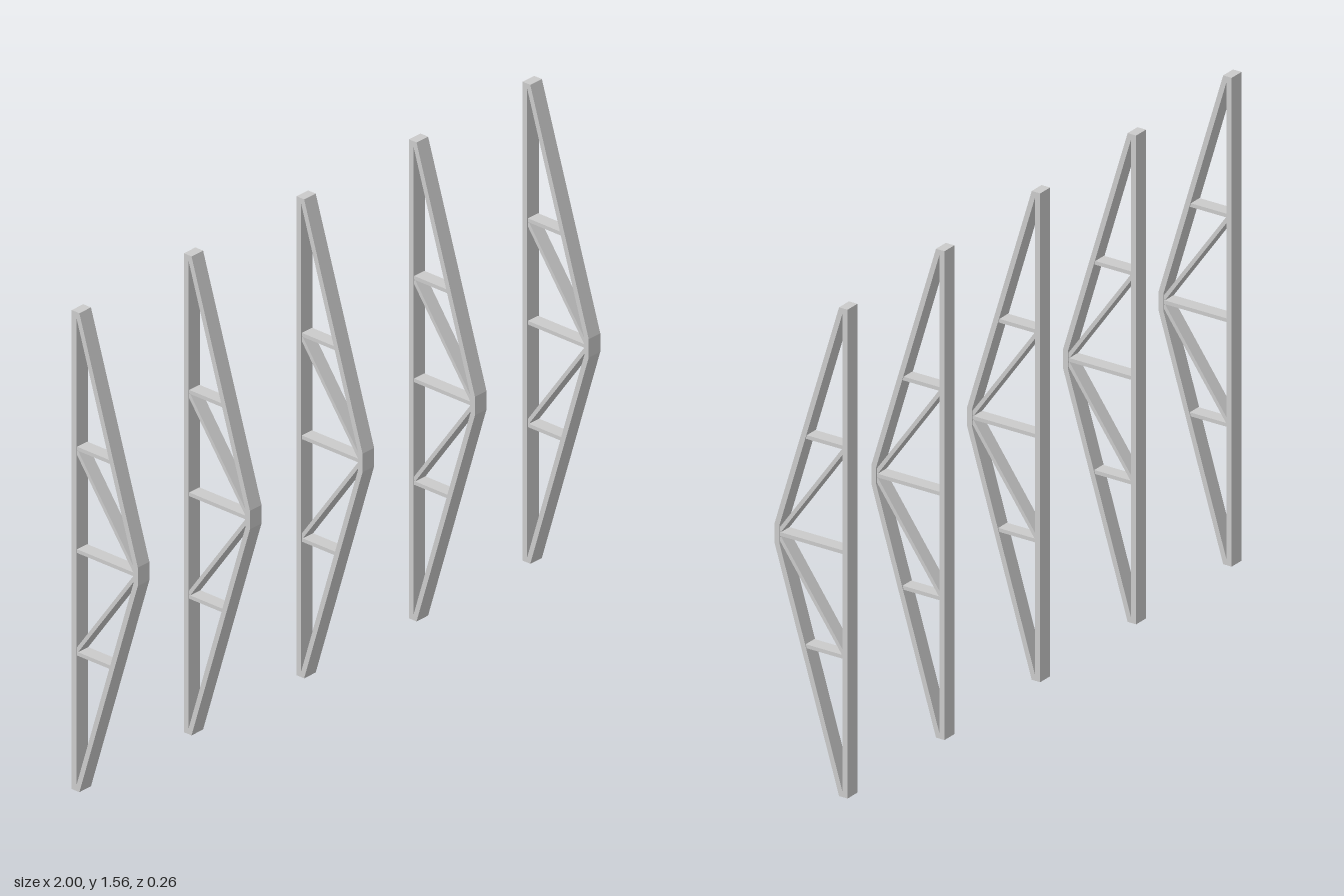
import * as THREE from 'three';

const HEIGHT = 1.56, MID = HEIGHT / 2, WIDTH = 0.05;
const material = new THREE.MeshStandardMaterial({ color: 0xcccccc, flatShading: true });

// Extrudes a side profile of [z, y] points across x, centred on x = 0
function slab(name, points, width) {
  const shape = new THREE.Shape(points.map(([z, y]) => new THREE.Vector2(z, y)));
  const geometry = new THREE.ExtrudeGeometry(shape, { depth: width, bevelEnabled: false });
  geometry.translate(0, 0, -width / 2).rotateY(-Math.PI / 2);
  const mesh = new THREE.Mesh(geometry, material);
  mesh.name = name;
  return mesh;
}

// Straight bar between two [z, y] points
function bar(name, [z1, y1], [z2, y2], thickness, width) {
  const length = Math.hypot(z2 - z1, y2 - y1);
  const nz = (-(y2 - y1) / length) * thickness / 2;
  const ny = ((z2 - z1) / length) * thickness / 2;
  return slab(name, [
    [z1 - nz, y1 - ny], [z2 - nz, y2 - ny], [z2 + nz, y2 + ny], [z1 + nz, y1 + ny],
  ], width);
}

function createTruss() {
  const truss = new THREE.Group();
  const web = 0.044;

  // Straight back chord
  truss.add(slab('backChord', [[-0.13, 0], [-0.112, 0], [-0.112, HEIGHT], [-0.13, HEIGHT]], WIDTH));

  // Bent front chord with a short flat at the apex
  truss.add(slab('frontChord', [
    [-0.112, 0], [-0.1, 0], [0.128, 0.75], [0.128, 0.81], [-0.1, HEIGHT], [-0.112, HEIGHT],
    [-0.112, 1.543], [0.111, 0.807], [0.111, 0.753], [-0.112, 0.017],
  ], WIDTH));

  // Web members: centre strut, then mirrored struts and diagonals
  truss.add(bar('centreStrut', [-0.113, MID], [0.113, MID], 0.012, web));
  for (const [side, s] of [['upper', 1], ['lower', -1]]) {
    truss.add(bar(side + 'Strut', [-0.113, MID + s * 0.334], [0.022, MID + s * 0.334], 0.012, web));
    truss.add(bar(side + 'Diagonal', [-0.113, MID + s * 0.325], [0.112, MID + s * 0.01], 0.012, web));
  }
  return truss;
}

export function createModel() {
  const model = new THREE.Group();
  model.name = 'trussRow';
  [-0.975, -0.49, -0.003, 0.483, 0.975].forEach((x, i) => {
    const truss = createTruss();
    truss.name = 'truss' + (i + 1);
    truss.position.x = x;
    model.add(truss);
  });
  return model;
}
